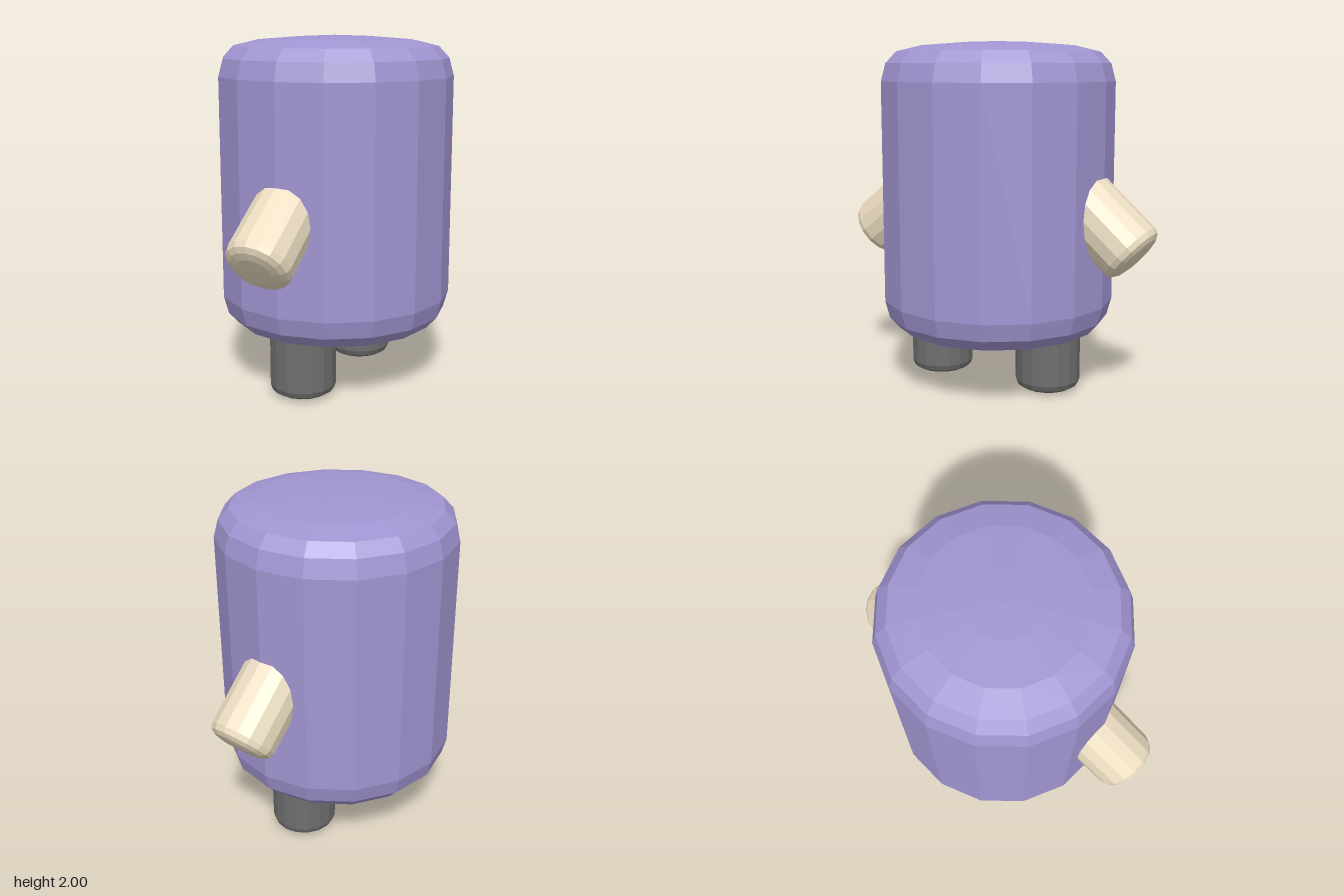
import * as THREE from 'three';

const SIDES = 16;
const LIMB_RADIUS = 0.187;

function material(color) {
  return new THREE.MeshStandardMaterial({ color, flatShading: true });
}

// Revolve a bottom-to-top profile of [radius, height] pairs
function turned(name, profile, mat) {
  const points = profile.map(([r, y]) => new THREE.Vector2(r, y));
  const mesh = new THREE.Mesh(new THREE.LatheGeometry(points, SIDES), mat);
  mesh.name = name;
  return mesh;
}

// Stubby limb: softly bevelled tip at the origin, running up along +y
function limb(name, length, mat) {
  const end = [[0, 0], [0.1, 0.003], [0.145, 0.012], [0.175, 0.03], [LIMB_RADIUS, 0.06]];
  const top = end.map(([r, y]) => [r, length - y]).reverse();
  return turned(name, [...end, ...top], mat);
}

export function createModel() {
  const group = new THREE.Group();
  const purple = material(0xa195d2);
  const cream = material(0xeadcc0);
  const grey = material(0x6e6e6e);

  // Barrel body with rounded rims and slightly domed ends
  const rim = [[0, 0], [0.2, 0.007], [0.44, 0.025], [0.585, 0.06], [0.645, 0.125], [0.672, 0.225]];
  const body = [
    ...rim.map(([r, y]) => [r, 0.295 + y]),
    ...rim.map(([r, y]) => [r, 2 - y]).reverse(),
  ];
  group.add(turned('body', body, purple));

  // Legs
  for (const [name, z] of [['frontLeg', 0.395], ['backLeg', -0.335]]) {
    const leg = limb(name, 0.5, grey);
    leg.position.set(0, 0.005, z);
    group.add(leg);
  }

  // Arms angled outward and down; position is the centre of the tip
  for (const [name, y, z, tilt] of [
    ['frontArm', 0.828, 0.888, -52.5],
    ['backArm', 0.822, -0.877, 48.5],
  ]) {
    const arm = limb(name, 0.55, cream);
    arm.position.set(0, y, z);
    arm.rotation.x = THREE.MathUtils.degToRad(tilt);
    group.add(arm);
  }

  return group;
}
